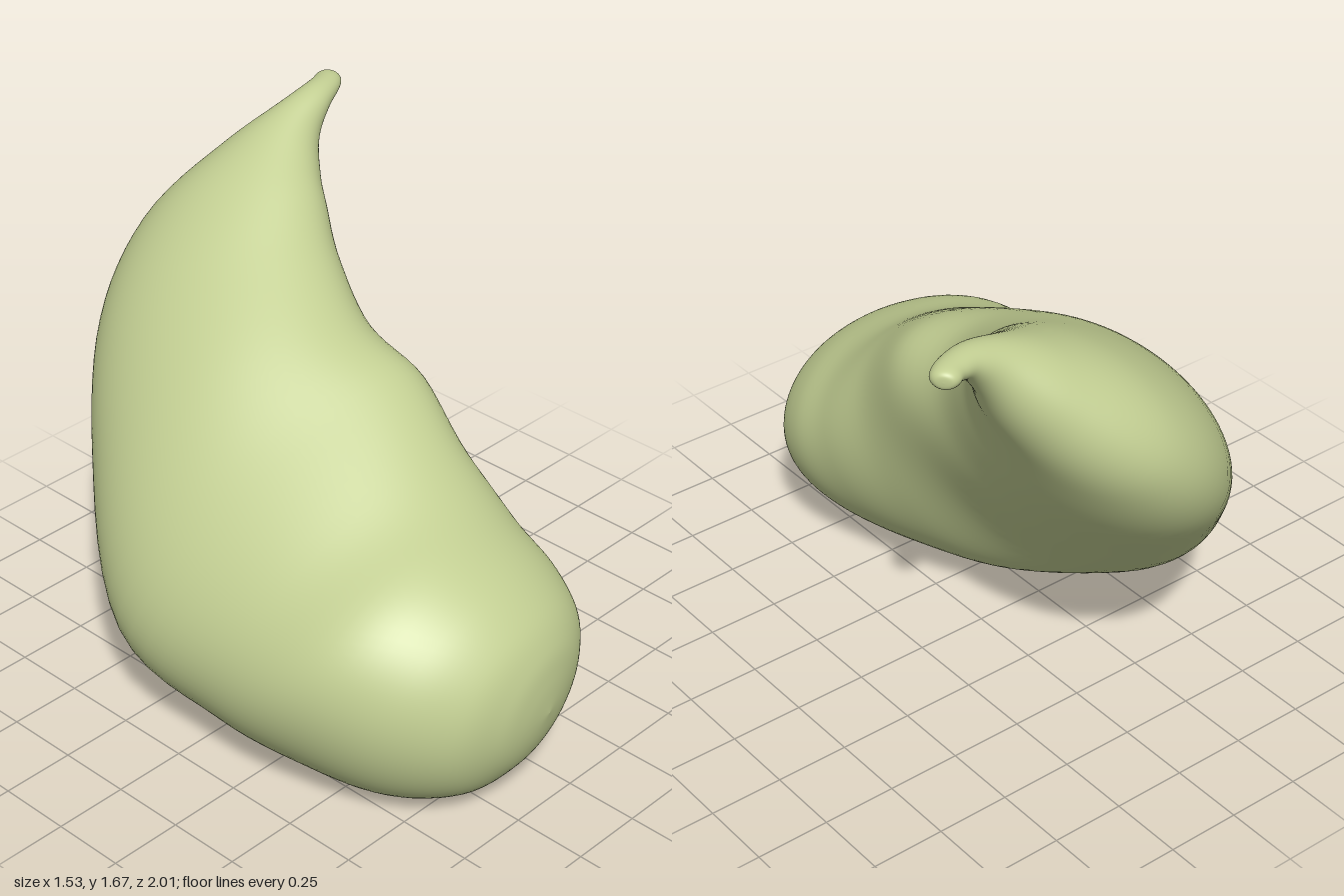
import * as THREE from 'three';

// Oval cross-sections from the blossom end to the tip of the stem: centre x,y,z;
// facing direction x,y,z; long half-axis, short half-axis, roll in degrees, egg (fuller outer end)
const bodySections = [
  [-0.12, 0.345, 1.00, -0.15, 0.10, -0.98, 0.00, 0.00, 15, 0],
  [-0.12, 0.345, 0.985, -0.15, 0.11, -0.98, 0.125, 0.11, 15, 0],
  [-0.12, 0.35, 0.95, -0.15, 0.13, -0.98, 0.24, 0.21, 15, 0.04],
  [-0.14, 0.355, 0.87, -0.15, 0.17, -0.97, 0.36, 0.31, 16, 0.09],
  [-0.185, 0.385, 0.72, -0.12, 0.24, -0.96, 0.455, 0.39, 20, 0.14],
  [-0.23, 0.44, 0.52, -0.08, 0.30, -0.95, 0.51, 0.43, 28, 0.16],
  [-0.25, 0.52, 0.25, -0.01, 0.37, -0.93, 0.575, 0.41, 45, 0.14],
  [-0.24, 0.67, -0.07, 0.13, 0.41, -0.90, 0.64, 0.36, 44, 0.08],
  [-0.115, 0.905, -0.38, 0.29, 0.575, -0.77, 0.513, 0.33, 39, 0],
];
const neckSections = [
  [0.06, 1.125, -0.61, 0.45, 0.63, -0.63, 0.43, 0.275, 33],
  [0.23, 1.31, -0.715, 0.567, 0.63, -0.53, 0.335, 0.21, 28],
  [0.395, 1.46, -0.705, 0.72, 0.62, -0.26, 0.19, 0.145, 18],
  [0.505, 1.56, -0.695, 0.80, 0.57, -0.08, 0.098, 0.09, 10],
  [0.60, 1.616, -0.70, 0.92, 0.35, -0.16, 0.062, 0.054, 0],
  [0.68, 1.632, -0.725, 0.87, 0.08, -0.48, 0.05, 0.038, 0],
  [0.72, 1.632, -0.75, 0.80, -0.02, -0.60, 0.045, 0.033, 0],
  [0.735, 1.632, -0.765, 0.75, -0.02, -0.66, 0.028, 0.022, 0],
  [0.738, 1.632, -0.768, 0.75, -0.02, -0.66, 0.00, 0.00, 0],
];
const sections = [...bodySections, ...neckSections.map((s) => [...s, 0])];

// Smooth interpolation of all section values at position u
function sectionAt(u) {
  const last = sections.length - 1;
  const i = Math.min(Math.floor(u), last - 1);
  const f = u - i;
  const at = (k) => sections[Math.max(0, Math.min(last, k))];
  return at(i).map((p1, k) => {
    const p0 = at(i - 1)[k], p2 = at(i + 1)[k], p3 = at(i + 2)[k];
    const m1 = (p2 - p0) / 2, m2 = (p3 - p1) / 2;
    return p1 + f * (m1 + f * (3 * (p2 - p1) - 2 * m1 - m2 + f * (2 * (p1 - p2) + m1 + m2)));
  });
}

// Lofted skin through the cross-sections
function loft(sides, stepsPerSection) {
  const rows = (sections.length - 1) * stepsPerSection;
  const up = new THREE.Vector3(0, 1, 0);
  const positions = [];
  const index = [];
  for (let r = 0; r <= rows; r++) {
    const [x, y, z, dx, dy, dz, long, short, roll, egg] = sectionAt(r / stepsPerSection);
    const facing = new THREE.Vector3(dx, dy, dz).normalize();
    const longAxis = new THREE.Vector3().crossVectors(facing, up).normalize();
    longAxis.applyAxisAngle(facing, -THREE.MathUtils.degToRad(roll));
    const shortAxis = new THREE.Vector3().crossVectors(longAxis, facing);
    for (let s = 0; s < sides; s++) {
      const t = (s / sides) * Math.PI * 2;
      const p = new THREE.Vector3(x, y, z)
        .addScaledVector(longAxis, long * Math.cos(t))
        .addScaledVector(shortAxis, short * Math.sin(t) * (1 - egg * Math.cos(t)));
      positions.push(p.x, Math.max(0, p.y), p.z);
      if (r < rows) {
        const a = r * sides + s;
        const b = r * sides + ((s + 1) % sides);
        index.push(a, a + sides, b, b, a + sides, b + sides);
      }
    }
  }
  const geometry = new THREE.BufferGeometry();
  geometry.setAttribute('position', new THREE.Float32BufferAttribute(positions, 3));
  geometry.setIndex(index);
  geometry.computeVertexNormals();
  return geometry;
}

export function createModel() {
  const group = new THREE.Group();
  group.name = 'gourd';
  const skin = new THREE.MeshStandardMaterial({ color: 0xc3cf93 });
  skin.name = 'pale green skin';
  // Body, neck and stem are one continuous skin
  const body = new THREE.Mesh(loft(80, 6), skin);
  body.name = 'gourdBody';
  group.add(body);
  return group;
}
